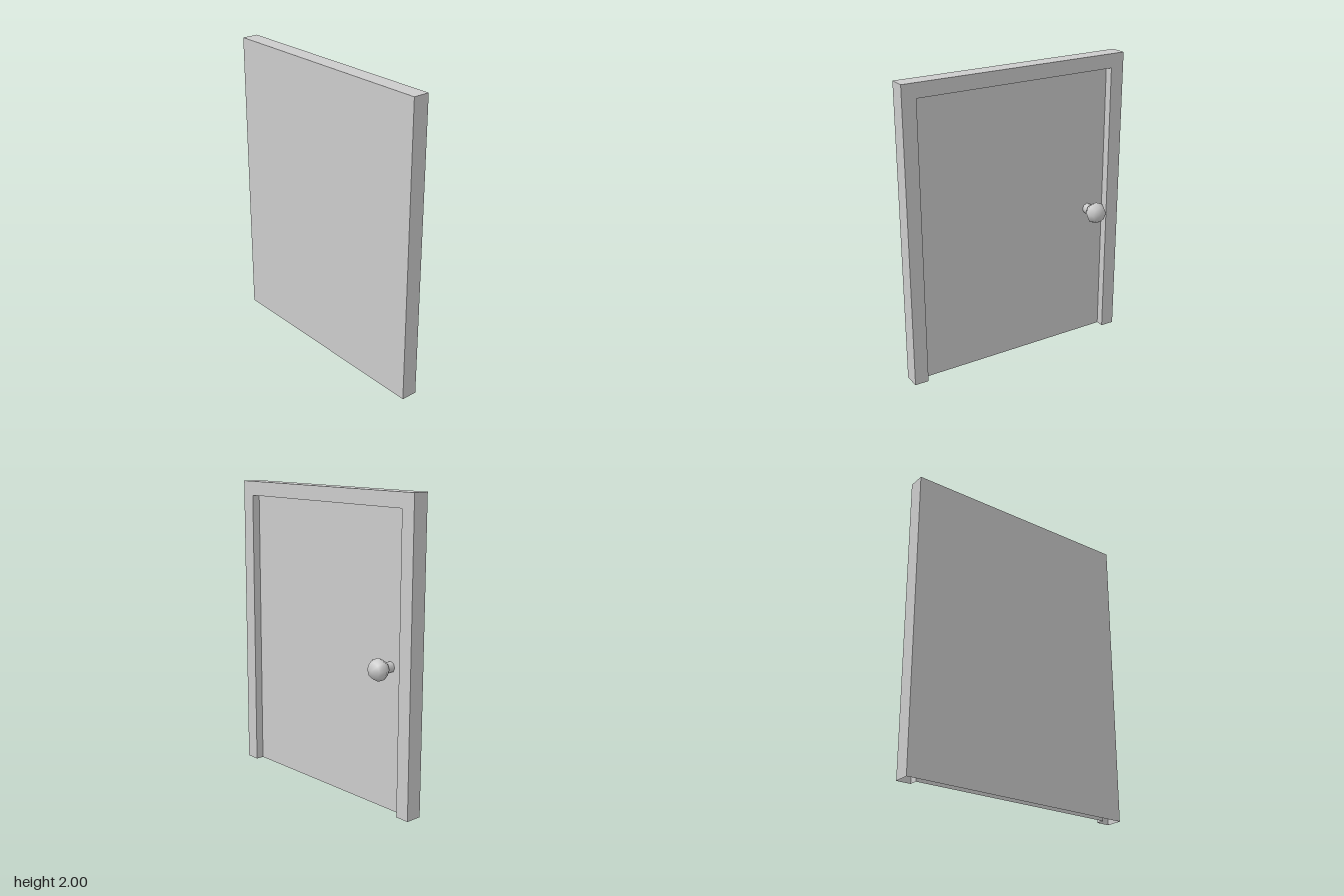
import * as THREE from 'three';

const material = new THREE.MeshStandardMaterial({ color: 0xcccccc, side: THREE.DoubleSide });

function part(name, geometry, parent) {
  const mesh = new THREE.Mesh(geometry, material);
  mesh.name = name;
  parent.add(mesh);
  return mesh;
}

export function createModel() {
  const W = 0.8, H = 2, FRONT = 0.11, RECESS = 0.055, BORDER = 0.095;
  const inner = W - BORDER, innerTop = H - BORDER;
  const model = new THREE.Group();
  model.name = 'door';

  // A flat rectangle placed by centre and turned about x and y
  const panel = (name, w, h, pos, rx = 0, ry = 0) => {
    const mesh = part(name, new THREE.PlaneGeometry(w, h), model);
    mesh.position.set(...pos);
    mesh.rotation.set(rx, ry, 0);
  };

  // Hollow shell, open underneath
  panel('frontPanel', 2 * W, H, [0, H / 2, FRONT]);
  panel('topPanel', 2 * W, FRONT, [0, H, FRONT / 2], -Math.PI / 2);
  panel('doorPanel', 2 * inner, innerTop, [0, innerTop / 2, RECESS], 0, Math.PI);
  panel('recessTop', 2 * inner, RECESS, [0, innerTop, RECESS / 2], Math.PI / 2);
  for (const s of [-1, 1]) {
    const side = s > 0 ? 'left' : 'right';
    panel(side + 'Side', FRONT, H, [s * W, H / 2, FRONT / 2], 0, s * Math.PI / 2);
    panel(side + 'Jamb', RECESS, innerTop, [s * inner, innerTop / 2, RECESS / 2], 0, -s * Math.PI / 2);
  }

  // Back face of the frame: an arch around the recess
  const arch = new THREE.Shape([
    [-W, 0], [-inner, 0], [-inner, innerTop], [inner, innerTop],
    [inner, 0], [W, 0], [W, H], [-W, H],
  ].map(([x, y]) => new THREE.Vector2(x, y)));
  const frame = part('backFrame', new THREE.ShapeGeometry(arch), model);
  frame.rotation.y = Math.PI;

  // Knob on a short stem, on the recessed side
  const handle = new THREE.Group();
  handle.name = 'handle';
  handle.position.set(-0.58, 0.93, 0);
  model.add(handle);
  const knob = part('knob', new THREE.SphereGeometry(1, 8, 4).rotateX(-Math.PI / 2), handle);
  knob.scale.set(0.075, 0.075, 0.06);
  knob.position.z = -0.05;
  const stem = part('stem', new THREE.CylinderGeometry(0.036, 0.036, 0.075, 8, 1, true).rotateX(Math.PI / 2), handle);
  stem.position.z = RECESS - 0.0375;

  return model;
}
